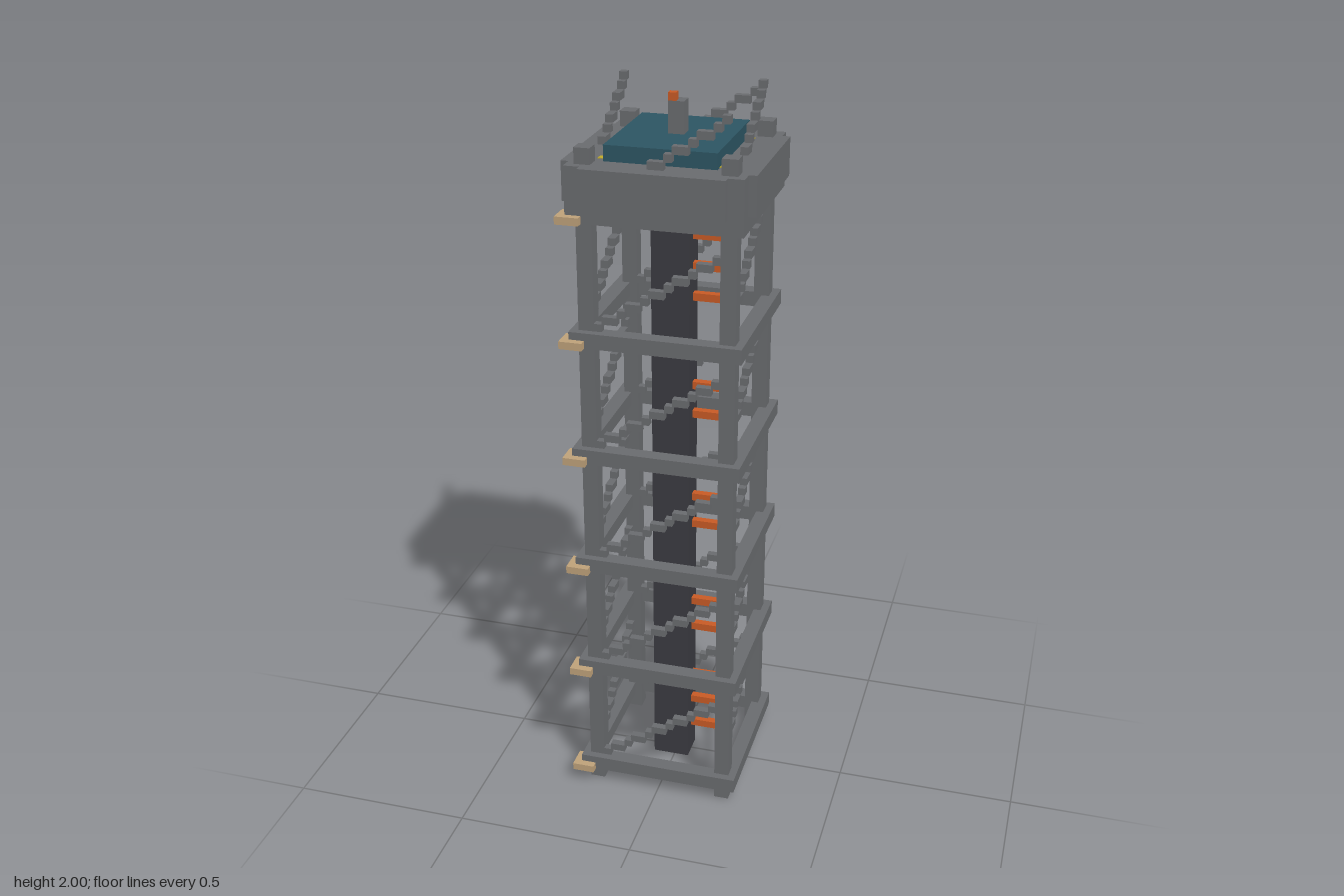
import * as THREE from 'three';

const U = 2 / 96; // one block

const mat = (name, color) => {
  const m = new THREE.MeshStandardMaterial({ color });
  m.name = name;
  return m;
};

export function createModel() {
  const tower = new THREE.Group();
  tower.name = 'latticeTower';
  const steel = mat('steel grey', 0x6a6c6f);
  const dark = mat('dark core', 0x3b3b41);
  const teal = mat('teal', 0x2d5563);
  const orange = mat('orange', 0xc95b25);
  const yellow = mat('lamp yellow', 0xc4ad2a);
  const tan = mat('tan', 0xbfa27a);

  // box given by its two corners, in blocks
  const box = (name, material, x0, x1, y0, y1, z0, z1, parent = tower) => {
    const g = new THREE.BoxGeometry((x1 - x0) * U, (y1 - y0) * U, (z1 - z0) * U);
    const m = new THREE.Mesh(g, material);
    m.position.set((x0 + x1) / 2 * U, (y0 + y1) / 2 * U, (z0 + z1) / 2 * U);
    m.name = name;
    parent.add(m);
    return m;
  };
  const group = (name) => {
    const g = new THREE.Group();
    g.name = name;
    tower.add(g);
    return g;
  };

  // central shaft and corner posts
  box('core', dark, -3, 2, 0, 84, -2, 2);
  for (const x of [-10, 8]) for (const z of [-10, 8]) box('cornerPost', steel, x, x + 2, 0, 91, z, z + 2);

  // horizontal rings with a tan corner ledge
  for (let k = 0; k < 6; k++) {
    const y = 2 + 16 * k;
    const ring = group('ring');
    for (const a of [-11, 9]) {
      box('ringBeamX', steel, -11, 11, y, y + 2, a, a + 2, ring);
      box('ringBeamZ', steel, a, a + 2, y, y + 2, -9, 9, ring);
    }
    box('ledgeSide', tan, -12, -11, y, y + 1, 9, 12, ring);
    box('ledgeFront', tan, -11, -9, y, y + 1, 11, 12, ring);
  }

  // stepped diagonal braces on all four sides, the last set rising past the cap
  for (let k = 0; k < 6; k++) {
    const braces = group('diagonalBraces');
    for (let n = 0; n < 13; n++) {
      const y = 3 + 16 * k + n;
      const a = -10 + Math.ceil(1.5 * n);
      const b = Math.min(-10 + Math.ceil(1.5 * (n + 1)), 9);
      box('frontBrace', steel, a, b, y, y + 1, 9, 10, braces);
      box('backBrace', steel, a, b, y, y + 1, -9, -8, braces);
      box('rightBrace', steel, -10, -9, y, y + 1, -b, -a, braces);
      box('leftBrace', steel, 8, 9, y, y + 1, -b, -a, braces);
    }
  }

  // ladder rungs beside the core
  const rungs = group('rungs');
  for (let k = 0; k < 5; k++) {
    for (const y of [7, 11, 15]) box('rung', orange, 3, 7, 16 * k + y, 16 * k + y + 1, 3, 4, rungs);
  }

  // cap slab with stepped corners
  const quarter = [[12, 9], [11, 9], [11, 11], [9, 11], [9, 12]];
  const outline = [];
  for (let q = 0; q < 4; q++) {
    for (const p of quarter) {
      let [x, y] = p;
      for (let i = 0; i < q; i++) [x, y] = [-y, x];
      outline.push(new THREE.Vector2(x * U, y * U));
    }
  }
  const slab = new THREE.ExtrudeGeometry(new THREE.Shape(outline), { depth: 5 * U, bevelEnabled: false });
  slab.rotateX(-Math.PI / 2);
  const cap = new THREE.Mesh(slab, steel);
  cap.name = 'cap';
  cap.position.y = 84 * U;
  tower.add(cap);

  // roof deck, mast with beacon, and flush lamps
  box('roofDeck', teal, -7, 7, 89, 91, -8, 8);
  box('mast', steel, -1, 1, 91, 95, -1, 1);
  box('beacon', orange, -1, 0, 95, 96, 0, 1);
  for (const x of [-8, 7]) for (const z of [-7, 6]) box('lamp', yellow, x, x + 1, 89, 89.1, z, z + 1);

  return tower;
}
